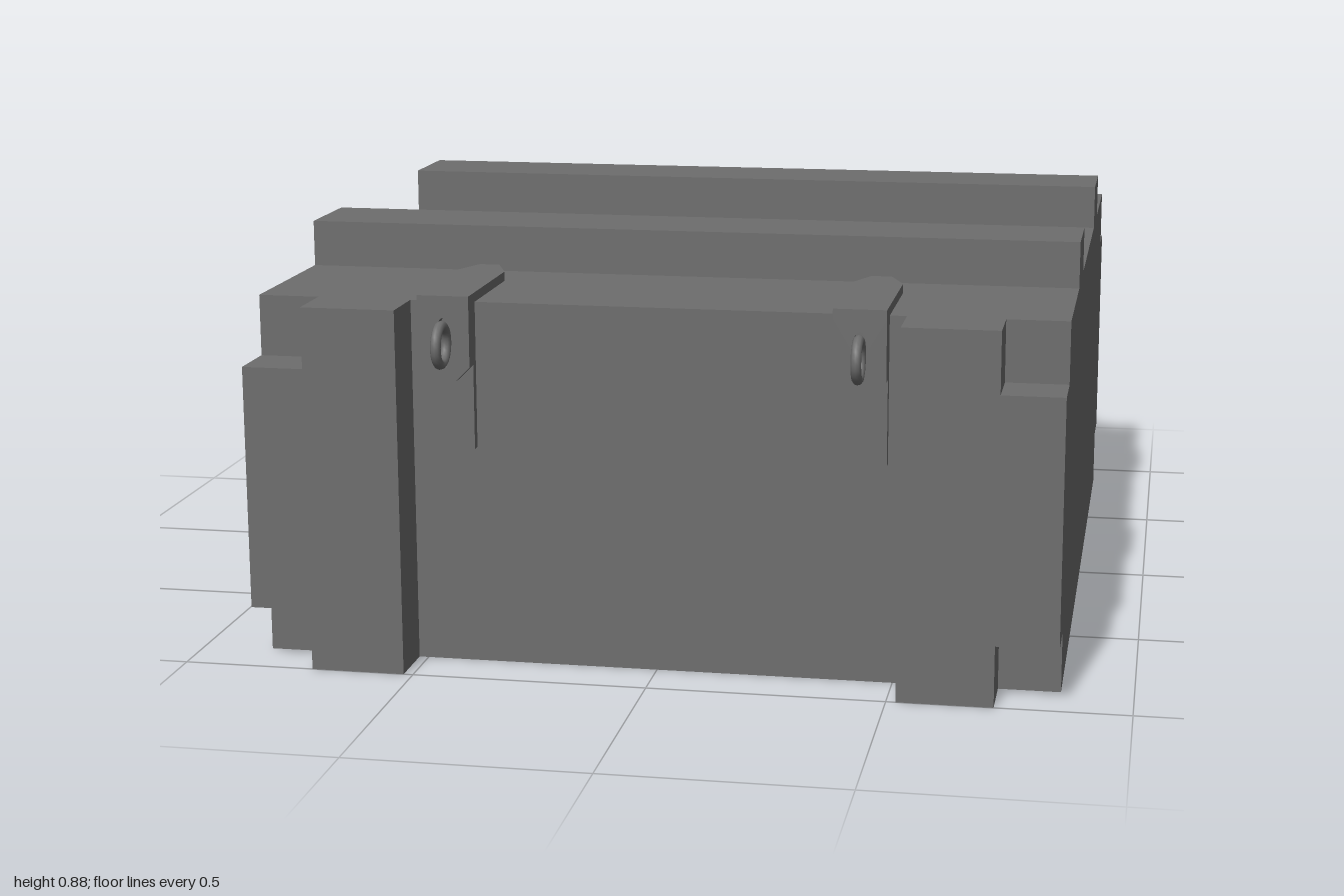
import * as THREE from 'three';

const material = new THREE.MeshStandardMaterial({ color: 0x6e6e6e, flatShading: true });
const smooth = new THREE.MeshStandardMaterial({ color: 0x6e6e6e });

function add(parent, name, geometry, x = 0, y = 0, z = 0, mat = material) {
  const mesh = new THREE.Mesh(geometry, mat);
  mesh.name = name;
  mesh.position.set(x, y, z);
  parent.add(mesh);
  return mesh;
}

function extrude(points, depth, hole) {
  const shape = new THREE.Shape(points.map(([x, y]) => new THREE.Vector2(x, y)));
  if (hole) shape.holes.push(hole);
  return new THREE.ExtrudeGeometry(shape, { depth, bevelEnabled: false, curveSegments: 10 });
}

// Hinged strap, slotted hasp, backing plate and staple, built for the +z end
function createLatch() {
  const latch = new THREE.Group();
  latch.name = 'latch';
  const w = 0.055;

  // Strap lying on the lid, tapering towards the middle
  const strap = extrude([[-w, 0.93], [-w, 0.63], [-0.022, 0.548], [0.022, 0.548], [w, 0.63], [w, 0.93]], 0.02);
  strap.rotateX(Math.PI / 2);
  add(latch, 'strap', strap, 0, 0.8, 0);

  // Hasp folded down over the end, with a slot for the staple
  const slot = new THREE.Path();
  slot.absellipse(0, 0.7, 0.018, 0.054, 0, Math.PI * 2, true);
  const hasp = extrude([[-w, 0.78], [-w, 0.65], [-0.025, 0.62], [0.025, 0.62], [w, 0.65], [w, 0.78]], 0.03, slot);
  add(latch, 'hasp', hasp, 0, 0, 0.9);

  add(latch, 'backingPlate', new THREE.BoxGeometry(2 * w, 0.31, 0.02), 0, 0.625, 0.89);

  const staple = new THREE.TorusGeometry(0.04, 0.011, 10, 24);
  staple.rotateY(Math.PI / 2);
  add(latch, 'staple', staple, 0, 0.7, 0.949, smooth);
  return latch;
}

export function createModel() {
  const crate = new THREE.Group();
  crate.name = 'crate';

  add(crate, 'body', new THREE.BoxGeometry(1.7, 0.78, 1.76), 0, 0.39, 0);

  // End posts with square notches cut from their outer corners
  const post = extrude([
    [0.52, 0], [0.72, 0], [0.72, 0.13], [0.85, 0.13],
    [0.85, 0.65], [0.72, 0.65], [0.72, 0.78], [0.52, 0.78],
  ], 0.12);
  post.translate(0, 0, 0.88);
  const mirroredPost = extrude([
    [-0.52, 0], [-0.52, 0.78], [-0.72, 0.78], [-0.72, 0.65],
    [-0.85, 0.65], [-0.85, 0.13], [-0.72, 0.13], [-0.72, 0],
  ], 0.12);
  mirroredPost.translate(0, 0, 0.88);

  for (const end of [1, -1]) {
    const turn = end > 0 ? 0 : Math.PI;
    add(crate, 'endPost', post).rotation.y = turn;
    add(crate, 'endPost', mirroredPost).rotation.y = turn;

    // Batten across the lid
    add(crate, 'lidBatten', new THREE.BoxGeometry(1.7, 0.1, 0.2), 0, 0.83, end * 0.412);

    for (const x of [-0.437, 0.43]) {
      const latch = createLatch();
      latch.position.x = x;
      latch.rotation.y = turn;
      crate.add(latch);
    }
  }
  return crate;
}
